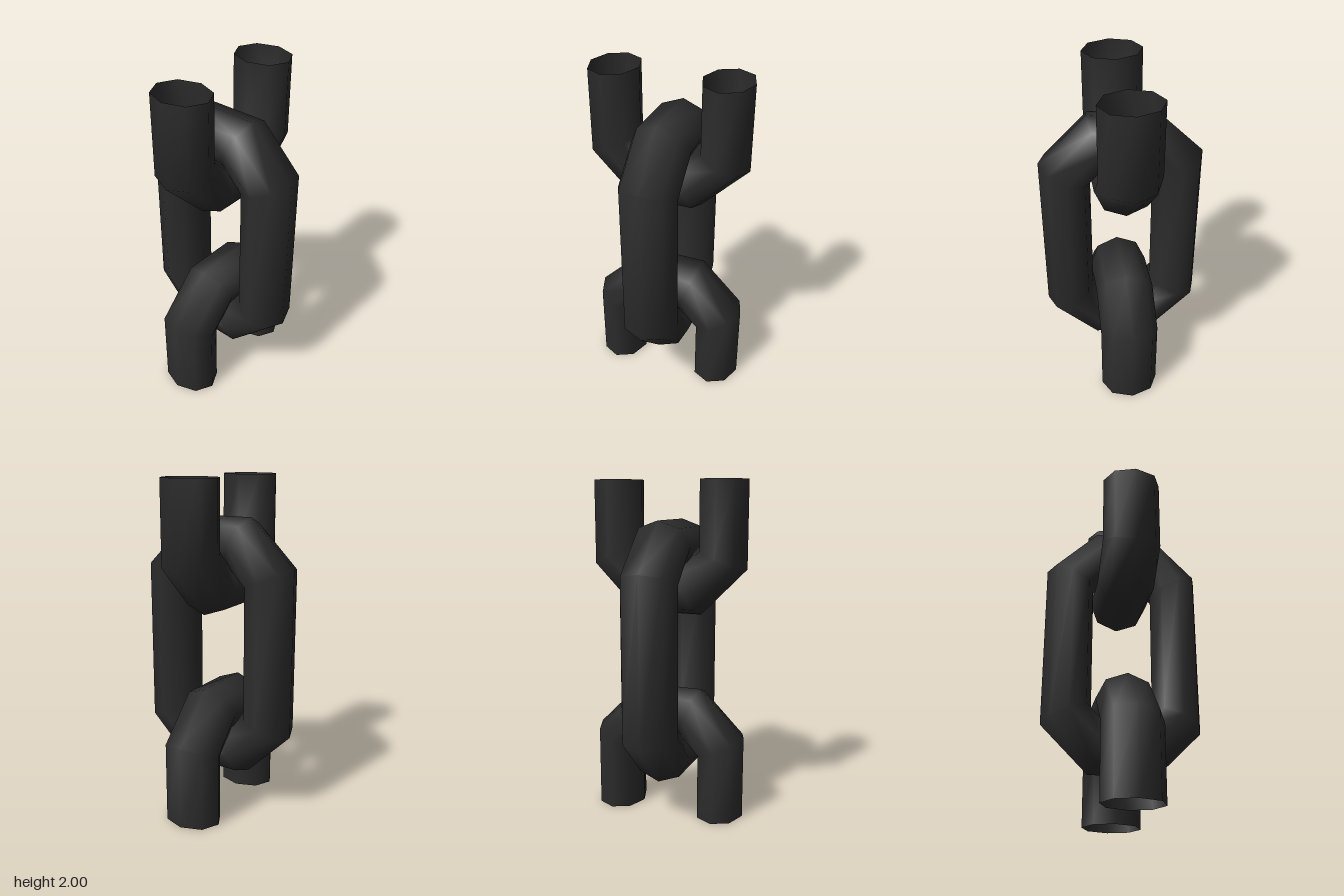
import * as THREE from 'three';

const SIDES = 8;                 // sides of the bar's cross-section
const STEP = Math.PI / 4;        // turn between neighbouring rings
const RADIUS = 0.351;            // bend radius of the bar's centre
const BAR_R = 0.156, BAR_W = 0.175; // bar half-thickness in and across the link's plane
const LIFT = 0.305;              // half the stretch of the straight sides

// Sweeps the cross-section through a list of rings { t: angle, k: radial scale, lift }
function sweep(rings, closed) {
  const pos = [], index = [];
  for (const { t, k, lift } of rings) {
    for (let j = 0; j < SIDES; j++) {
      const p = (j / SIDES) * Math.PI * 2;
      const r = (RADIUS + BAR_R * Math.cos(p)) * k;
      pos.push(r * Math.cos(t), r * Math.sin(t) + lift, BAR_W * Math.sin(p));
    }
  }
  const n = rings.length;
  for (let i = 0; i < (closed ? n : n - 1); i++) {
    for (let j = 0; j < SIDES; j++) {
      const i2 = (i + 1) % n, j2 = (j + 1) % SIDES;
      const a = i * SIDES + j, b = i2 * SIDES + j;
      const c = i2 * SIDES + j2, d = i * SIDES + j2;
      index.push(a, b, d, b, c, d);
    }
  }
  const g = new THREE.BufferGeometry();
  g.setAttribute('position', new THREE.Float32BufferAttribute(pos, 3));
  g.setIndex(index);
  g.computeVertexNormals();
  return g;
}

const bendRing = (i) => {
  const t = (i + 0.5) * STEP;
  return { t, k: 1, lift: LIFT * Math.sign(Math.sin(t)) };
};

export function createModel() {
  const group = new THREE.Group();
  const iron = new THREE.MeshStandardMaterial({ color: 0x2b2b2b, side: THREE.DoubleSide });
  iron.name = 'darkIron';

  // Whole link, standing in the side plane
  const full = sweep(Array.from({ length: 8 }, (_, i) => bendRing(i)), true);
  const middle = new THREE.Mesh(full, iron);
  middle.name = 'middleLink';
  middle.position.y = 1;
  middle.rotation.y = Math.PI / 2;
  group.add(middle);

  // Half links with open cut ends, in the front plane
  const cut = Math.cos(STEP / 2);
  const half = sweep([
    { t: 0, k: cut, lift: 0 },
    ...[0, 1, 2, 3].map(bendRing),
    { t: Math.PI, k: cut, lift: 0 },
  ], false);
  const lower = new THREE.Mesh(half, iron);
  lower.name = 'lowerHalfLink';
  const upper = new THREE.Mesh(half, iron);
  upper.name = 'upperHalfLink';
  upper.position.y = 2;
  upper.rotation.z = Math.PI;
  group.add(lower, upper);

  return group;
}
